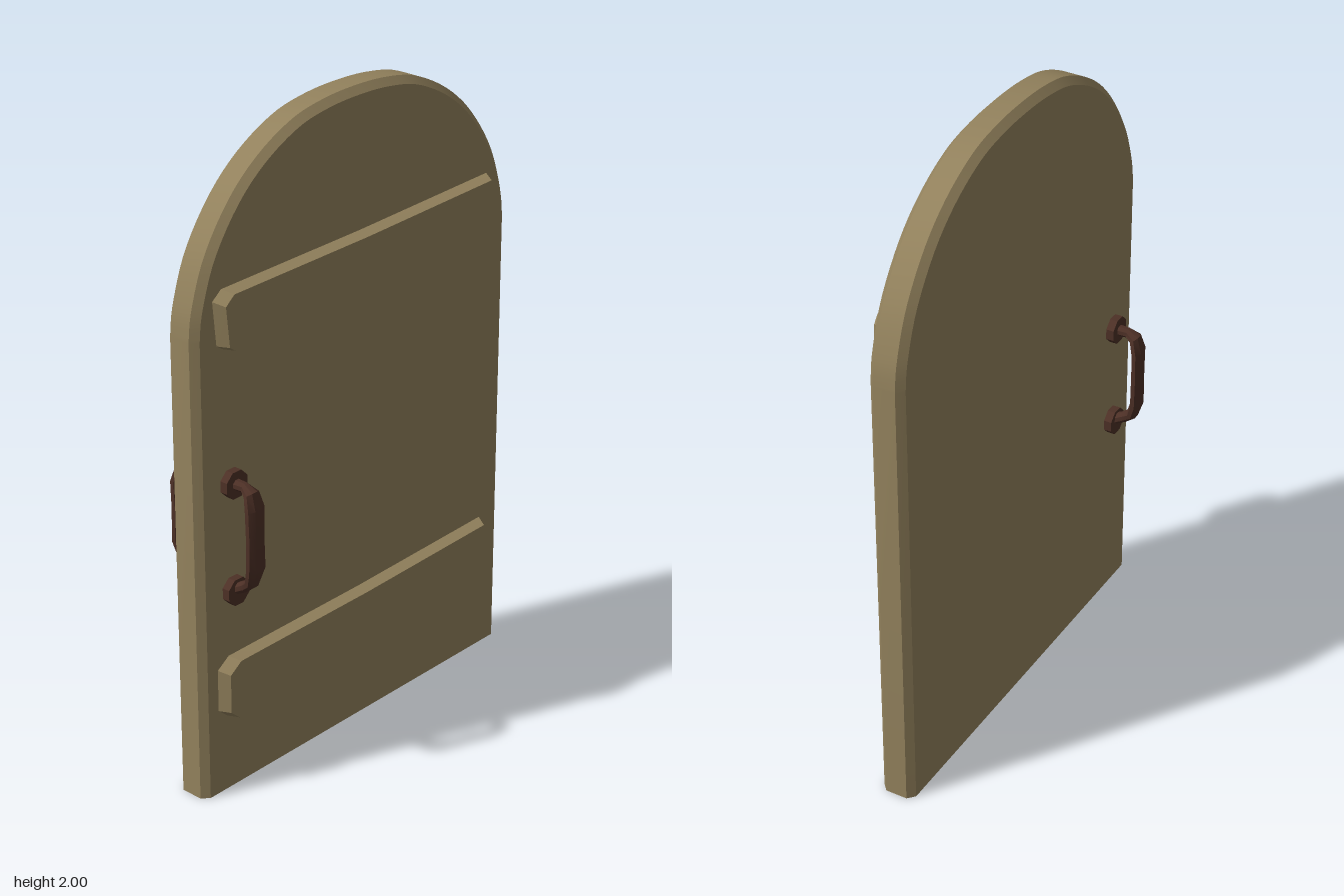
import * as THREE from 'three';
import { toCreasedNormals } from 'three/addons/utils/BufferGeometryUtils.js';

const vec2 = ([x, y]) => new THREE.Vector2(x, y);

// Moves every vertex of a geometry by a rule
function reshape(geometry, rule) {
  const pos = geometry.attributes.position;
  const v = new THREE.Vector3();
  for (let i = 0; i < pos.count; i++) {
    rule(v.fromBufferAttribute(pos, i));
    pos.setXYZ(i, v.x, v.y, v.z);
  }
  return geometry;
}

// Arched slab with chamfered rim and a flat foot
function doorGeometry() {
  const arch = [[0.665, 1.44], [0.652, 1.53], [0.6, 1.67], [0.503, 1.805], [0.39, 1.9],
    [0.255, 1.967], [0.13, 1.993], [0, 2]];
  const mirrored = arch.slice(0, -1).reverse().map(([x, y]) => [-x, y]);
  const shape = new THREE.Shape();
  shape.moveTo(-0.665, -0.1);
  shape.lineTo(0.665, -0.1);
  shape.lineTo(...arch[0]);
  shape.splineThru([...arch.slice(1), ...mirrored].map(vec2));
  shape.closePath();
  const geometry = new THREE.ExtrudeGeometry(shape, {
    depth: 0.07, bevelThickness: 0.02, bevelSize: 0.022, bevelOffset: -0.022,
    bevelSegments: 1, curveSegments: 4,
  });
  geometry.translate(0, 0, -0.035);
  reshape(geometry, (v) => { v.y = Math.max(0, v.y); });
  return toCreasedNormals(geometry, 0.5);
}

// Uneven plank whose front face is slightly smaller than its base
function plankGeometry(outline, midY) {
  const geometry = new THREE.ExtrudeGeometry(new THREE.Shape(outline.map(vec2)),
    { depth: 0.04, bevelEnabled: false });
  reshape(geometry, (v) => {
    if (v.z > 0.02) {
      v.x *= 0.967;
      if (v.y > midY) v.y -= 0.012;
    }
  });
  geometry.translate(0, 0, 0.05);
  return toCreasedNormals(geometry, 0.3);
}

// Bar swept through [z, y, width] stations with an eight-sided section
function gripGeometry() {
  const stations = [[0.06, 0.985, 0.036], [0.108, 0.985, 0.026], [0.134, 0.973, 0.05],
    [0.146, 0.93, 0.066], [0.146, 0.84, 0.06], [0.146, 0.74, 0.066],
    [0.132, 0.695, 0.05], [0.104, 0.673, 0.028], [0.06, 0.65, 0.04]];
  const sides = 8;
  const points = [];
  const index = [];
  stations.forEach(([z, y, width], i) => {
    const before = stations[Math.max(0, i - 1)];
    const after = stations[Math.min(stations.length - 1, i + 1)];
    const tangent = new THREE.Vector2(after[1] - before[1], after[0] - before[0]).normalize();
    for (let j = 0; j < sides; j++) {
      const a = ((j + 0.5) / sides) * Math.PI * 2;
      const grow = 0.5 / Math.cos(Math.PI / sides);
      const across = Math.cos(a) * width * grow;
      const out = Math.sin(a) * 0.032 * grow;
      points.push(across, y + tangent.y * out, z - tangent.x * out);
      if (i < stations.length - 1) {
        const p = i * sides + j;
        const q = i * sides + ((j + 1) % sides);
        index.push(p, q, p + sides, q, q + sides, p + sides);
      }
    }
  });
  const geometry = new THREE.BufferGeometry();
  geometry.setAttribute('position', new THREE.Float32BufferAttribute(points, 3));
  geometry.setIndex(index);
  return toCreasedNormals(geometry, 0.5);
}

export function createModel() {
  const wood = new THREE.MeshStandardMaterial({ color: 0x93825d });
  wood.name = 'wood';
  const iron = new THREE.MeshStandardMaterial({ color: 0x4d3026 });
  iron.name = 'brown iron';

  const model = new THREE.Group();
  model.name = 'archedDoor';
  const add = (parent, name, geometry, material) => {
    const mesh = new THREE.Mesh(geometry, material);
    mesh.name = name;
    parent.add(mesh);
    return mesh;
  };

  add(model, 'doorPanel', doorGeometry(), wood);

  // Cross planks on the front
  add(model, 'upperPlank', plankGeometry([
    [-0.56, 1.395], [-0.582, 1.41], [-0.595, 1.545], [-0.56, 1.572], [0, 1.58], [0.565, 1.598],
    [0.583, 1.575], [0.592, 1.41], [0.565, 1.38], [0, 1.388],
  ], 1.5), wood);
  add(model, 'lowerPlank', plankGeometry([
    [-0.57, 0.245], [-0.605, 0.275], [-0.605, 0.41], [-0.56, 0.44], [0, 0.442], [0.568, 0.455],
    [0.597, 0.41], [0.59, 0.28], [0.565, 0.253], [0.3, 0.25],
  ], 0.35), wood);

  // A handle on each face
  const grip = gripGeometry();
  const rosette = toCreasedNormals(new THREE.CylinderGeometry(0.044, 0.044, 0.032, 8), 0.5);
  rosette.rotateY(Math.PI / 8).rotateX(Math.PI / 2);
  [['frontHandle', 0], ['backHandle', Math.PI]].forEach(([name, turn]) => {
    const handle = new THREE.Group();
    handle.name = name;
    handle.position.x = -0.535;
    handle.rotation.y = turn;
    add(handle, 'grip', grip, iron);
    add(handle, 'upperRosette', rosette, iron).position.set(0, 0.985, 0.064);
    add(handle, 'lowerRosette', rosette, iron).position.set(0, 0.648, 0.064);
    model.add(handle);
  });

  return model;
}
